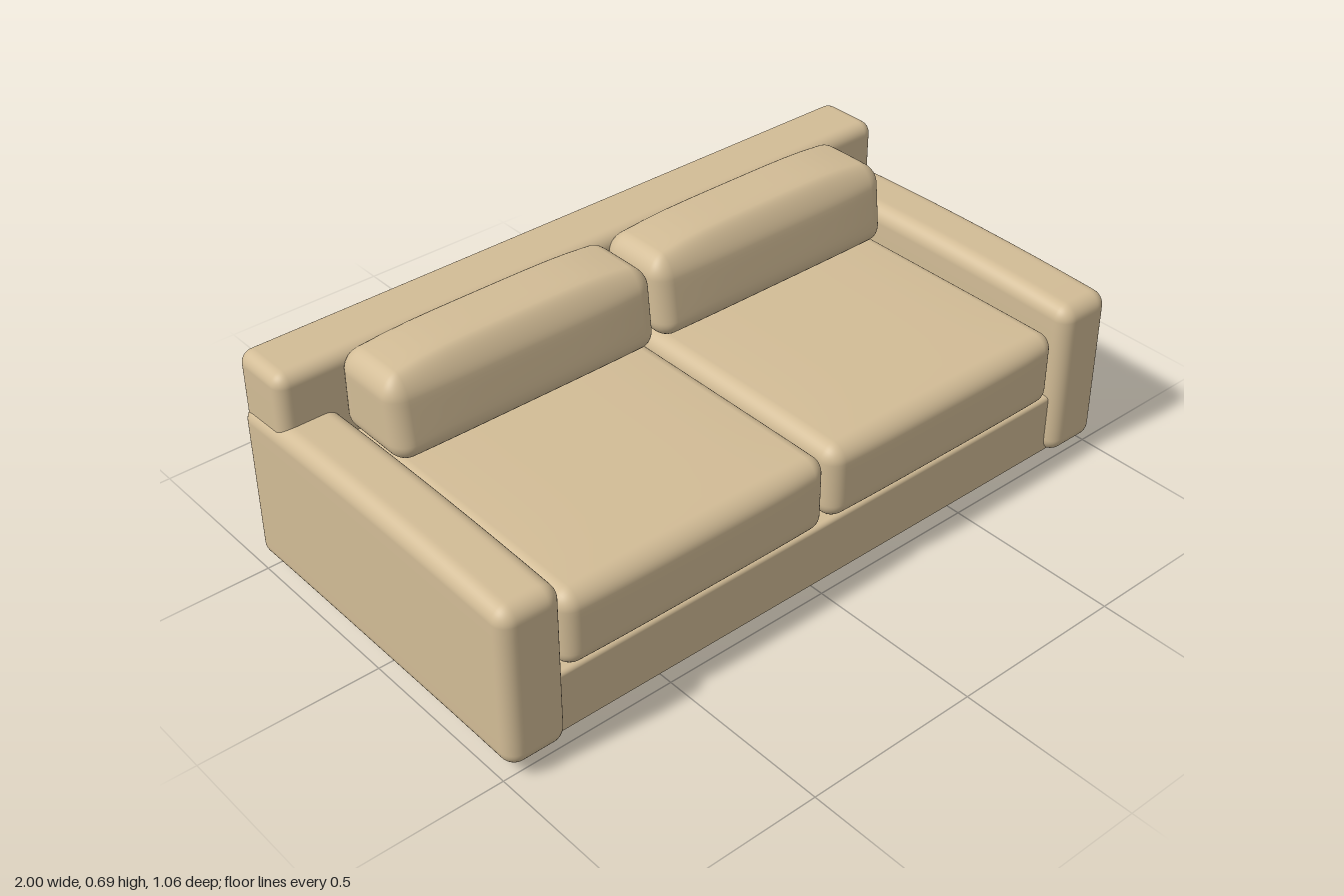
import * as THREE from 'three';
import { mergeVertices } from 'three/addons/utils/BufferGeometryUtils.js';

const fabric = new THREE.MeshStandardMaterial({ color: 0xd2bc96 });
const dark = new THREE.MeshStandardMaterial({ color: 0x4a4562 });

// Rounded box between two corners; shape(p, u, v, w) may bend it, with u, v, w in -1..1
function softBox(min, max, r, shape) {
  const lo = new THREE.Vector3(...min), hi = new THREE.Vector3(...max);
  const half = hi.clone().sub(lo).multiplyScalar(0.5);
  const mid = hi.clone().add(lo).multiplyScalar(0.5);
  let geo = new THREE.BoxGeometry(2, 2, 2, 20, 20, 20);
  geo.deleteAttribute('uv');
  geo.deleteAttribute('normal');
  geo = mergeVertices(geo);
  const pos = geo.attributes.position;
  const p = new THREE.Vector3(), core = new THREE.Vector3();
  // the outer five steps of every axis go into the rounded edge
  const spread = (t, h) => {
    const a = Math.abs(t);
    const d = a <= 0.5 ? (a / 0.5) * (h - r) : h - r + r * Math.tan((a - 0.5) * Math.PI / 2);
    return Math.sign(t) * d;
  };
  for (let i = 0; i < pos.count; i++) {
    p.fromBufferAttribute(pos, i);
    p.set(spread(p.x, half.x), spread(p.y, half.y), spread(p.z, half.z));
    core.set(
      THREE.MathUtils.clamp(p.x, r - half.x, half.x - r),
      THREE.MathUtils.clamp(p.y, r - half.y, half.y - r),
      THREE.MathUtils.clamp(p.z, r - half.z, half.z - r));
    p.sub(core).setLength(r).add(core);
    const u = p.x / half.x, v = p.y / half.y, w = p.z / half.z;
    p.add(mid);
    if (shape) shape(p, u, v, w);
    pos.setXYZ(i, p.x, p.y, p.z);
  }
  geo.computeVertexNormals();
  return geo;
}

const dome = (a, b) => (1 - a ** 4) * (1 - b ** 4);

export function createModel() {
  const group = new THREE.Group();
  const add = (name, geo, mat = fabric) => {
    const mesh = new THREE.Mesh(geo, mat);
    mesh.name = name;
    group.add(mesh);
  };

  // Recessed plinth and upholstered frame
  add('plinth', softBox([-0.922, 0, -0.455], [0.922, 0.045, 0.455], 0.004), dark);
  add('seatBase', softBox([-0.86, 0.04, -0.5], [0.86, 0.222, 0.5], 0.012));
  add('backrest', softBox([-0.988, 0.04, -0.532], [0.988, 0.655, -0.346], 0.036));

  for (const side of [-1, 1]) {
    const label = side > 0 ? 'left' : 'right';
    const span = (a, b) => (side > 0 ? [a, b] : [-b, -a]);

    // Arm with a slightly crowned top
    const [ax, bx] = span(0.826, 0.998);
    add(label + 'Arm', softBox([ax, 0.042, -0.53], [bx, 0.5, 0.53], 0.042, (p, u, v, w) => {
      if (v > 0) p.y += 0.013 * v * (1 - w * w);
      else p.y -= 0.004 * v * w ** 4 * -1;
    }));

    // Seat cushion, gently puffed on top and front
    const [sx, tx] = span(0.006, 0.818);
    add(label + 'SeatCushion', softBox([sx, 0.22, -0.36], [tx, 0.435, 0.512], 0.045, (p, u, v, w) => {
      if (v > 0) p.y += 0.008 * v * dome(u, w);
      if (w > 0) p.z += 0.008 * w * dome(u, v);
    }));

    // Back cushion, leaning back and crowned
    const [cx, dx] = span(0.006, 0.814);
    add(label + 'BackCushion', softBox([cx, 0.438, -0.365], [dx, 0.66, -0.118], 0.05, (p, u, v, w) => {
      if (v > 0) p.y += 0.03 * v * dome(u, w);
      if (w > 0) p.z += 0.008 * w * dome(u, v) - 0.014 * w * (v + 0.6);
    }));
  }
  return group;
}
